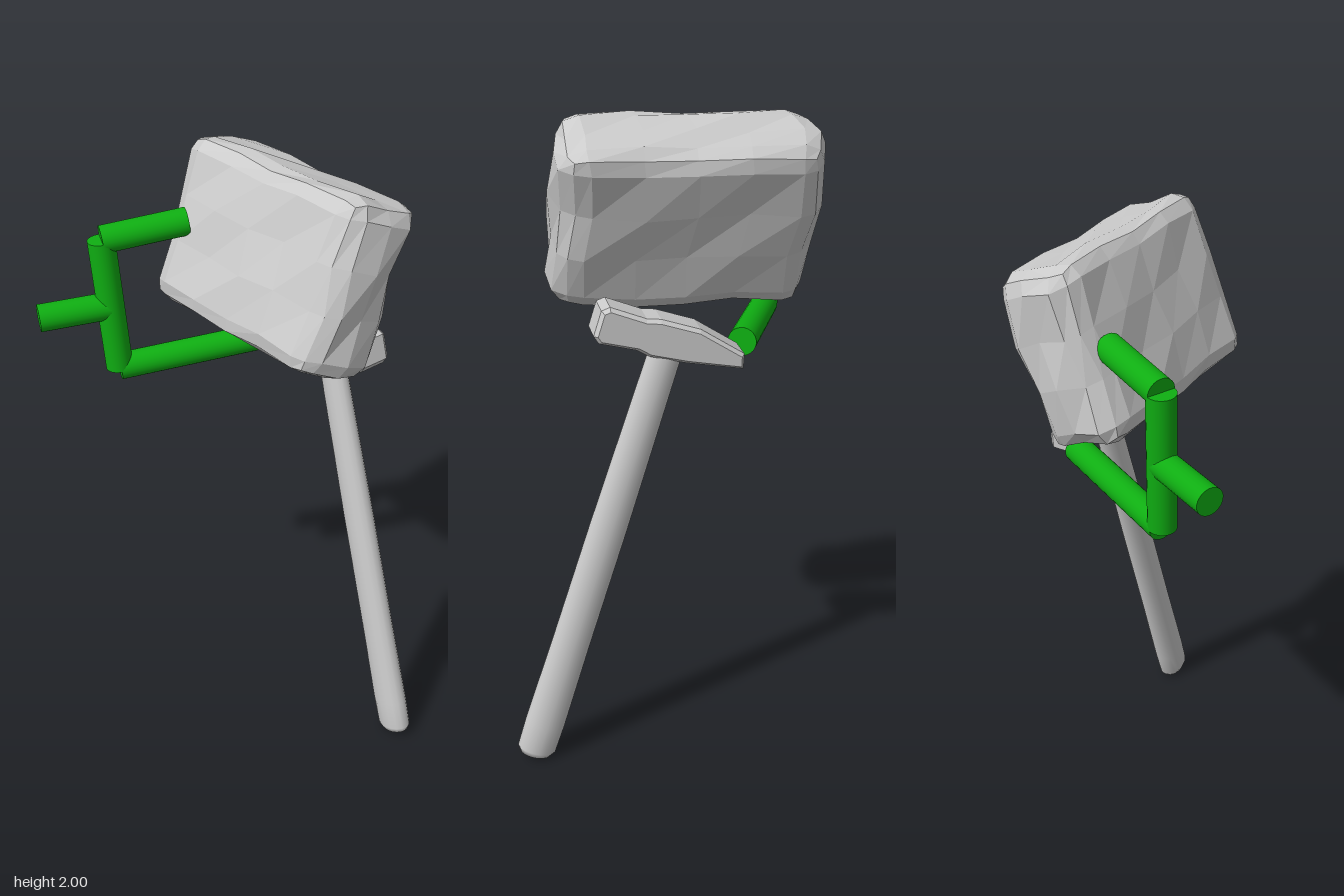
import * as THREE from 'three';

const stone = new THREE.MeshStandardMaterial({ color: 0xcccccc, flatShading: true });
const wood = new THREE.MeshStandardMaterial({ color: 0xcccccc });
const green = new THREE.MeshStandardMaterial({ color: 0x0fae12 });

function addMesh(parent, name, geometry, material) {
  const mesh = new THREE.Mesh(geometry, material);
  mesh.name = name;
  parent.add(mesh);
  return mesh;
}

// Roughly hewn block: a box with chamfered edges, bulging ends and a slight wobble
function hewnBlock(w, h, d, r) {
  const segs = [6, 5, 4];
  const half = [w / 2, h / 2, d / 2];
  const geo = new THREE.BoxGeometry(w, h, d, ...segs);
  const pos = geo.attributes.position;
  const p = new THREE.Vector3(), inner = new THREE.Vector3();
  for (let i = 0; i < pos.count; i++) {
    p.fromBufferAttribute(pos, i);
    for (let a = 0; a < 3; a++) {
      // Squeeze the outermost row of cells to the chamfer width
      const v = p.getComponent(a);
      const last = half[a] * (1 - 2 / segs[a]);
      const q = Math.abs(v) > last + 1e-5 ? v : v * (half[a] - r) / last;
      p.setComponent(a, q);
      inner.setComponent(a, THREE.MathUtils.clamp(q, r - half[a], half[a] - r));
    }
    p.sub(inner).normalize().multiplyScalar(r).add(inner);
    const { x, y, z } = p;
    p.x += Math.sign(x) * 0.035 * Math.pow(Math.abs(x) / half[0], 6) * (1 - (z / half[2]) ** 2);
    p.x += 0.009 * Math.sin(17 * y + 23 * z);
    p.y += 0.006 * Math.sin(15 * x + 31 * z + 1);
    p.z += 0.006 * Math.sin(13 * x + 19 * y + 2);
    pos.setXYZ(i, p.x, p.y, p.z);
  }
  geo.computeVertexNormals();
  return geo;
}

// Capped round bar between two points
function bar(parent, name, from, to, radius) {
  const a = new THREE.Vector3(...from), b = new THREE.Vector3(...to);
  const dir = b.clone().sub(a);
  const mesh = addMesh(parent, name, new THREE.CylinderGeometry(radius, radius, dir.length(), 24), green);
  mesh.position.copy(a).add(b).multiplyScalar(0.5);
  mesh.quaternion.setFromUnitVectors(new THREE.Vector3(0, 1, 0), dir.normalize());
}

export function createModel() {
  const model = new THREE.Group();
  model.name = 'hammerAndBlock';

  // Tilted stone block
  const block = addMesh(model, 'block', hewnBlock(0.7, 0.52, 0.275, 0.055), stone);
  block.position.set(-0.037, 1.725, -0.187);
  block.rotation.set(-0.36, 0, 0.03);

  // Hammer: its origin is where the handle meets the head
  const hammer = new THREE.Group();
  hammer.name = 'hammer';
  hammer.position.set(0.04, 1.38, -0.345);
  hammer.rotation.z = 0.306;
  model.add(hammer);

  // Oval handle, slightly thicker toward the butt, with a softened end
  const profile = [
    [0, -1.425], [0.05, -1.42], [0.062, -1.4], [0.064, -1.3], [0.06, -1.0],
    [0.058, -0.6], [0.053, -0.25], [0.05, -0.04], [0.05, 0.02], [0, 0.02],
  ].map(([r, y]) => new THREE.Vector2(r, y));
  const handle = addMesh(hammer, 'hammerHandle', new THREE.LatheGeometry(profile, 16), wood);
  handle.scale.z = 0.72;

  // Wedge on one side, square striking face on the other
  const outline = new THREE.Shape([
    [-0.225, -0.008], [-0.06, -0.028], [0.05, -0.034], [0.09, -0.024], [0.2, -0.03],
    [0.218, -0.015], [0.218, 0.058], [0.2, 0.072], [0.09, 0.064], [0.05, 0.072],
    [-0.07, 0.07], [-0.215, 0.03],
  ].map(([x, y]) => new THREE.Vector2(x, y)));
  const headGeo = new THREE.ExtrudeGeometry(outline, {
    depth: 0.09, bevelEnabled: true, bevelThickness: 0.014, bevelSize: 0.01, bevelOffset: -0.006, bevelSegments: 1,
  });
  headGeo.translate(0, 0, -0.03);
  addMesh(hammer, 'hammerHead', headGeo, stone);

  // Green bracket linking the block and the hammer head
  const bracket = new THREE.Group();
  bracket.name = 'bracket';
  model.add(bracket);
  const top = [-0.42, 1.735, 0.18], bottom = [-0.39, 1.3, 0.16];
  bar(bracket, 'upperArm', top, [-0.31, 1.765, -0.06], 0.043);
  bar(bracket, 'upright', top, bottom, 0.043);
  bar(bracket, 'lowerArm', bottom, [-0.2, 1.34, -0.265], 0.043);
  bar(bracket, 'stub', [-0.405, 1.515, 0.17], [-0.495, 1.503, 0.375], 0.043);

  return model;
}
